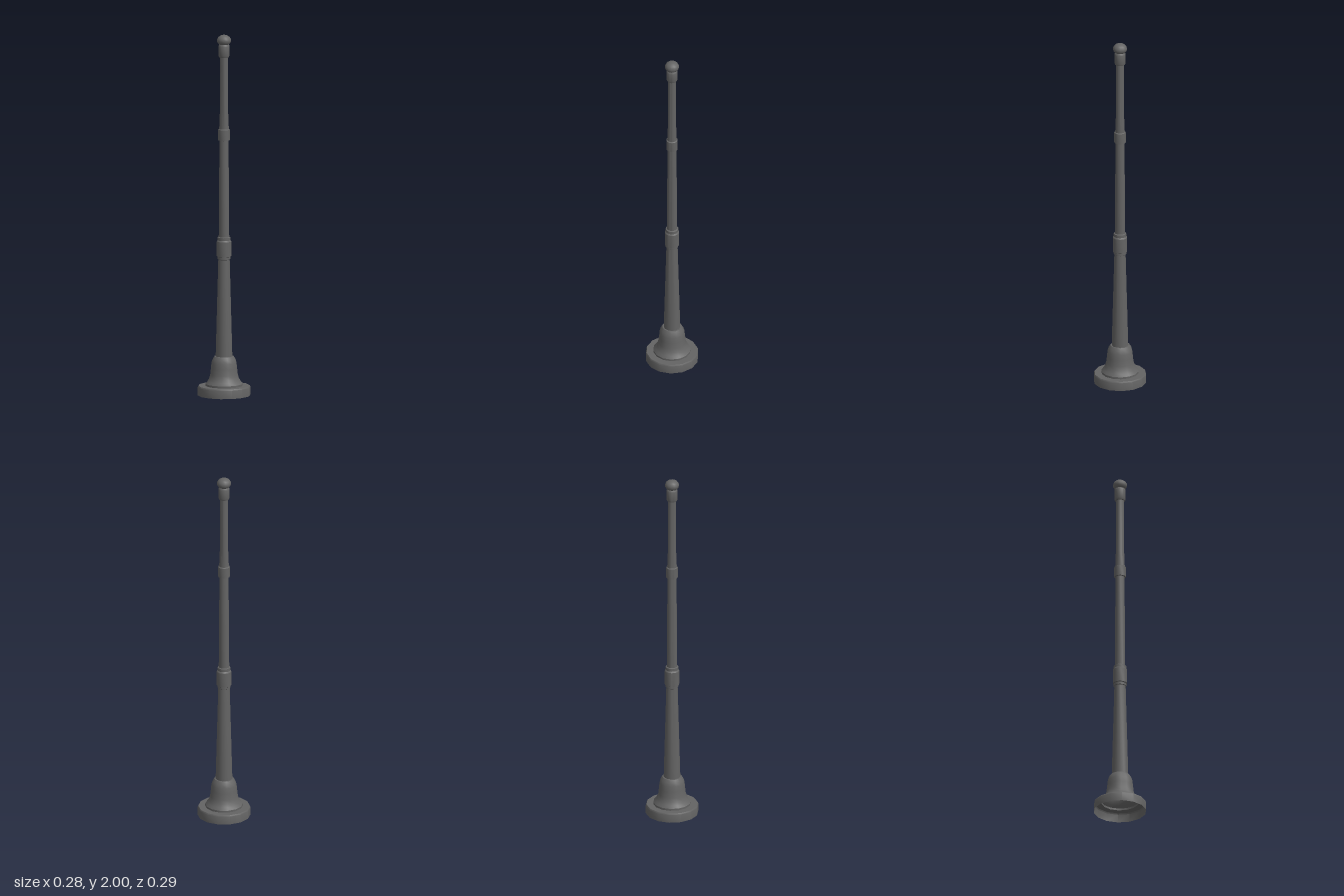
import * as THREE from 'three';
import { toCreasedNormals } from 'three/addons/utils/BufferGeometryUtils.js';

const SIDES = 14;

export function createModel() {
  const model = new THREE.Group();
  model.name = 'post';

  const castIron = new THREE.MeshStandardMaterial({ color: 0x646464, side: THREE.DoubleSide });
  castIron.name = 'castIron';

  // Turned part from [radius, height] pairs, listed bottom to top
  function turned(name, profile) {
    const points = profile.map(([r, y]) => new THREE.Vector2(r, y));
    const mesh = new THREE.Mesh(toCreasedNormals(new THREE.LatheGeometry(points, SIDES), 0.6), castIron);
    mesh.name = name;
    model.add(mesh);
  }

  // Hollow foot, open underneath
  turned('footFlange', [[0.145, 0], [0.145, 0.046], [0.141, 0.053], [0.103, 0.053]]);
  turned('footBell', [
    [0.103, 0.053], [0.103, 0.064], [0.092, 0.077], [0.082, 0.094], [0.076, 0.115],
    [0.072, 0.15], [0.069, 0.18], [0.063, 0.2], [0.053, 0.216], [0.045, 0.216],
  ]);

  // Tapering shafts
  turned('lowerShaft', [[0.046, 0.214], [0.031, 0.77]]);
  turned('middleShaft', [[0.029, 0.87], [0.025, 1.415]]);
  turned('upperShaft', [[0.027, 1.47], [0.023, 1.57], [0.022, 1.88]]);

  // Collars
  turned('lowerCollar', [
    [0.031, 0.752], [0.035, 0.755], [0.035, 0.768], [0.040, 0.771], [0.040, 0.853],
    [0.035, 0.860], [0.035, 0.876], [0.029, 0.879],
  ]);
  turned('upperCollar', [[0.025, 1.413], [0.032, 1.415], [0.032, 1.474], [0.026, 1.478]]);
  turned('topCollar', [
    [0.022, 1.874], [0.027, 1.876], [0.031, 1.886], [0.031, 1.938], [0.026, 1.948], [0.020, 1.952],
  ]);

  // Slightly flattened ball finial
  const finial = new THREE.Mesh(new THREE.SphereGeometry(1, SIDES, 10), castIron);
  finial.name = 'finial';
  finial.scale.set(0.039, 0.031, 0.039);
  finial.position.y = 1.969;
  finial.rotation.y = Math.PI / 2;
  model.add(finial);

  return model;
}
